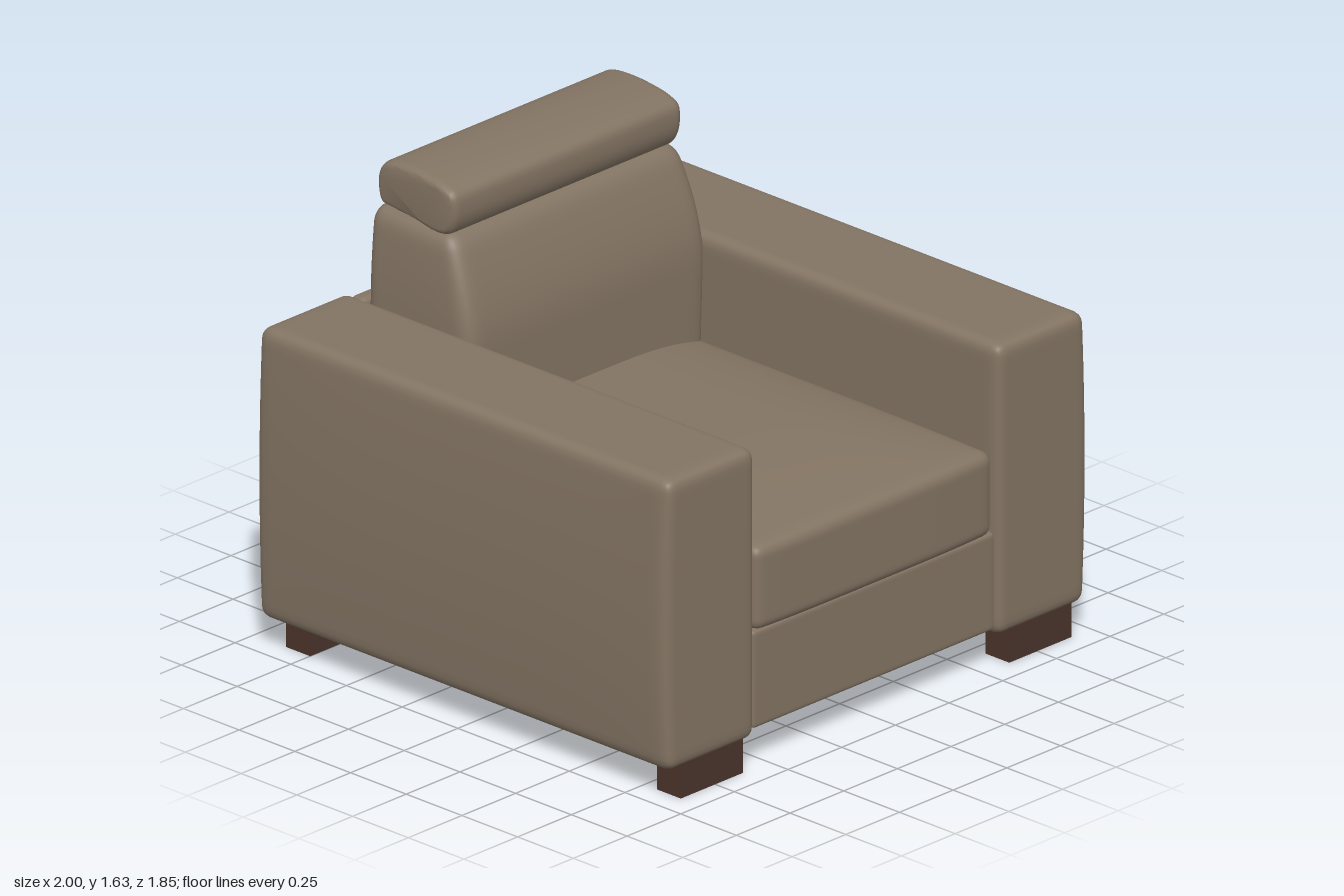
import * as THREE from 'three';
import { mergeVertices, toCreasedNormals } from 'three/addons/utils/BufferGeometryUtils.js';

const leather = new THREE.MeshStandardMaterial({ color: 0x837463 });
leather.name = 'taupe leather';
const wood = new THREE.MeshStandardMaterial({ color: 0x4a332b });
wood.name = 'dark wood';

// Rounded block between two corners, with an optional rule that reshapes it.
// The rule gets the point and its position in the block as -1..1 per axis.
function softBlock(min, max, radius, rule) {
  const n = 28;
  let geo = new THREE.BoxGeometry(2, 2, 2, n, n, n);
  geo.deleteAttribute('uv');
  geo.deleteAttribute('normal');
  geo = mergeVertices(geo);
  const lo = new THREE.Vector3(...min), hi = new THREE.Vector3(...max);
  const centre = lo.clone().add(hi).multiplyScalar(0.5);
  const half = hi.clone().sub(lo).multiplyScalar(0.5);
  const core = half.clone().subScalar(radius);
  const pos = geo.attributes.position;
  const p = new THREE.Vector3(), c = new THREE.Vector3(), u = new THREE.Vector3();
  // gather the grid lines near the edges, where the rounding is
  const spread = (t) => Math.sign(t) * (1 - (1 - Math.abs(t)) ** 2);
  for (let i = 0; i < pos.count; i++) {
    p.fromBufferAttribute(pos, i);
    p.set(spread(p.x), spread(p.y), spread(p.z)).multiply(half);
    c.copy(p).clamp(core.clone().negate(), core);
    p.sub(c).setLength(radius).add(c);
    u.copy(p).divide(half);
    p.add(centre);
    if (rule) rule(p, u);
    pos.setXYZ(i, p.x, p.y, p.z);
  }
  geo.computeVertexNormals();
  return geo;
}

export function createModel() {
  const model = new THREE.Group();
  model.name = 'armchair';
  const add = (name, geo, mat = leather) => {
    const mesh = new THREE.Mesh(geo, mat);
    mesh.name = name;
    model.add(mesh);
    return mesh;
  };

  // Arms with a gently swelling outer side, and two feet under each
  for (const s of [1, -1]) {
    const side = s > 0 ? 'left' : 'right';
    const [x0, x1] = s > 0 ? [0.56, 0.975] : [-0.975, -0.56];
    add(side + 'Arm', softBlock([x0, 0.105, -0.925], [x1, 1.13, 0.92], 0.042, (p, u) => {
      const outward = Math.max(0, s * u.x);
      p.x += s * 0.024 * outward * (1 - u.y ** 2) * (1 - 0.4 * u.z ** 4);
    }));
    for (const [end, z] of [['Front', 0.86], ['Back', -0.803]]) {
      const foot = add(side + end + 'Foot', new THREE.BoxGeometry(0.29, 0.12, 0.108), wood);
      foot.position.set(s * 0.765, 0.06, z);
    }
  }

  // Base and back panel
  add('base', softBlock([-0.565, 0.13, -0.88], [0.565, 0.475, 0.905], 0.015));
  add('backPanel', softBlock([-0.565, 0.13, -0.913], [0.565, 1.115, -0.845], 0.025));

  // Seat cushion, crowned in the middle and sloping down at the front
  add('seatCushion', softBlock([-0.556, 0.465, -0.6], [0.556, 0.765, 0.92], 0.04, (p, u) => {
    const front = Math.max(0, p.z - 0.25) / 0.67;
    const crown = (1 - Math.abs(u.x) ** 3.5) * (1 - Math.min(1, front) ** 2);
    p.y += 0.056 * crown * Math.max(0, u.y);
    p.z -= 0.012 * Math.max(0, u.z) * Math.abs(u.x) ** 4;
  }));

  // Back cushion: the front leans back towards the top, the sides swell
  add('backCushion', softBlock([-0.57, 0.5, -0.84], [0.57, 1.455, -0.37], 0.06, (p, u) => {
    const rise = Math.max(0, (p.y - 1.08) / 0.375);
    const depth = 0.47 - 0.11 * rise ** 1.5;
    const f = (p.z + 0.84) / 0.47;
    p.z = -0.84 + f * depth;
    p.x *= 1 - 0.05 * rise ** 2 - 0.025 * Math.max(0, (1.05 - p.y) / 0.4) - 0.02 * f ** 4;
    p.y -= 0.015 * f * Math.max(0, u.y) ** 4;
  }));

  // Headrest roll, its outline given as [z, y]
  const outline = new THREE.CatmullRomCurve3([
    [-0.467, 1.53], [-0.475, 1.58], [-0.52, 1.605], [-0.6, 1.62], [-0.7, 1.626],
    [-0.78, 1.614], [-0.811, 1.58], [-0.817, 1.52], [-0.8, 1.467], [-0.74, 1.455],
    [-0.65, 1.445], [-0.55, 1.428], [-0.5, 1.44], [-0.475, 1.48],
  ].map(([z, y]) => new THREE.Vector3(-z, y, 0)), true);
  const shape = new THREE.Shape(outline.getPoints(56).slice(0, -1).map((p) => new THREE.Vector2(p.x, p.y)));
  const roll = new THREE.ExtrudeGeometry(shape, {
    depth: 1.0, bevelEnabled: true, bevelThickness: 0.035, bevelSize: 0.022, bevelOffset: -0.022, bevelSegments: 5,
  });
  roll.translate(0, 0, -0.5).rotateY(Math.PI / 2);
  add('headrest', toCreasedNormals(roll, 0.7));

  return model;
}
